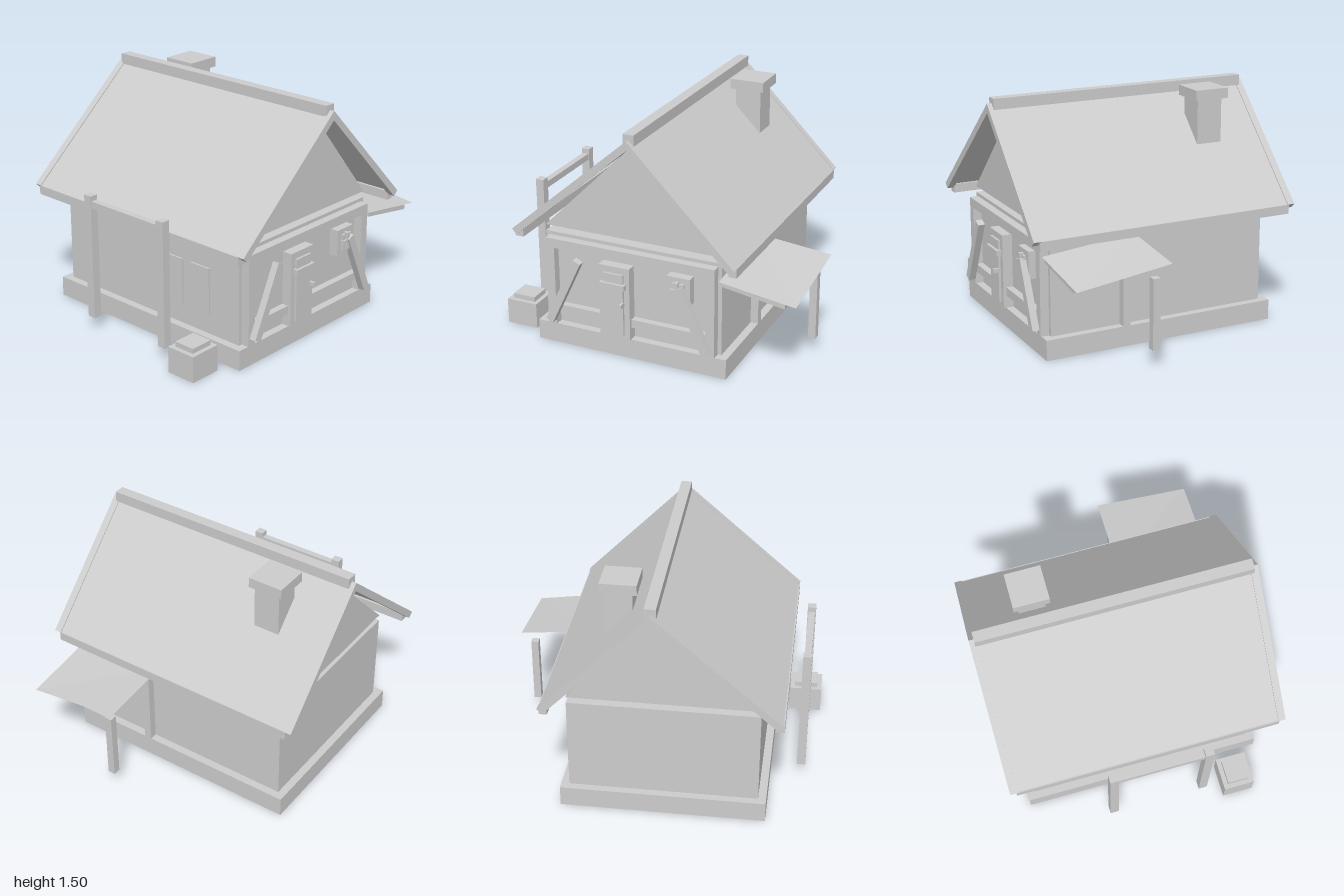
import * as THREE from 'three';

const clay = new THREE.MeshStandardMaterial({ color: 0xcccccc });
clay.name = 'light grey';
const sheet = clay;
sheet.side = THREE.DoubleSide;

export function createModel() {
  const model = new THREE.Group();
  model.name = 'cottage';

  const add = (name, geometry) => {
    const mesh = new THREE.Mesh(geometry, clay);
    mesh.name = name;
    model.add(mesh);
    return mesh;
  };
  // Box given by its limits on each axis
  const box = (name, [x0, x1], [y0, y1], [z0, z1]) => {
    const mesh = add(name, new THREE.BoxGeometry(x1 - x0, y1 - y0, z1 - z0));
    mesh.position.set((x0 + x1) / 2, (y0 + y1) / 2, (z0 + z1) / 2);
    return mesh;
  };
  // Outline in x and y, carried along z
  const prism = (name, points, z0, z1) => {
    const shape = new THREE.Shape(points.map(([x, y]) => new THREE.Vector2(x, y)));
    const mesh = add(name, new THREE.ExtrudeGeometry(shape, { depth: z1 - z0, bevelEnabled: false }));
    mesh.position.z = z0;
    return mesh;
  };
  // Straight timber between two points of the front plane
  const timber = (name, [ax, ay], [bx, by], width, [z0, z1]) => {
    const length = Math.hypot(bx - ax, by - ay);
    const mesh = add(name, new THREE.BoxGeometry(length, width, z1 - z0));
    mesh.position.set((ax + bx) / 2, (ay + by) / 2, (z0 + z1) / 2);
    mesh.rotation.z = Math.atan2(by - ay, bx - ax);
    return mesh;
  };

  // Body
  box('foundation', [-0.71, 0.57], [0, 0.13], [-0.78, 0.78]);
  box('walls', [-0.66, 0.52], [0.13, 0.735], [-0.73, 0.73]);
  prism('gable', [[-0.66, 0.775], [0.52, 0.775], [-0.015, 1.42]], -0.73, 0.73);

  // Roof slopes with a raised bargeboard at each end
  const slopes = {
    left: {
      board: [[-0.805, 0.782], [-0.772, 0.752], [-0.015, 1.408], [-0.015, 1.466]],
      panel: [[-0.80, 0.777], [-0.785, 0.764], [-0.015, 1.432], [-0.015, 1.458]],
    },
    right: {
      board: [[0.662, 0.782], [0.629, 0.752], [-0.015, 1.408], [-0.015, 1.466]],
      panel: [[0.658, 0.777], [0.643, 0.764], [-0.015, 1.432], [-0.015, 1.458]],
    },
  };
  for (const [side, { board, panel }] of Object.entries(slopes)) {
    prism(`${side}RoofPanel`, panel, -0.845, 0.845);
    prism(`${side}FrontBargeboard`, board, 0.843, 0.89);
    prism(`${side}BackBargeboard`, board, -0.89, -0.843);
  }
  box('leftEaveBoard', [-0.805, -0.75], [0.722, 0.78], [-0.85, 0.85]);
  box('rightEaveBoard', [0.61, 0.66], [0.722, 0.78], [-0.85, 0.85]);
  box('ridgeBeam', [-0.05, 0.02], [1.43, 1.498], [-0.86, 0.86]);

  // Chimney
  box('chimneyShaft', [0.13, 0.298], [1.0, 1.43], [-0.56, -0.39]);
  box('chimneyCap', [0.10, 0.325], [1.425, 1.49], [-0.59, -0.365]);

  // Front timber frame
  box('frameLeftPost', [-0.635, -0.578], [0.13, 0.652], [0.73, 0.785]);
  box('frameRightPost', [0.437, 0.495], [0.13, 0.652], [0.73, 0.785]);
  box('frameTopBeam', [-0.635, 0.495], [0.652, 0.713], [0.73, 0.785]);
  box('leftRail', [-0.578, -0.265], [0.21, 0.265], [0.73, 0.775]);
  box('rightRail', [-0.06, 0.437], [0.21, 0.265], [0.73, 0.775]);
  timber('leftBrace', [-0.603, 0.17], [-0.40, 0.605], 0.052, [0.785, 0.83]);
  timber('rightBrace', [0.455, 0.155], [0.275, 0.563], 0.052, [0.785, 0.83]);

  // Door
  box('doorFrame', [-0.265, -0.06], [0.13, 0.61], [0.73, 0.795]);
  box('doorPanel', [-0.23, -0.097], [0.16, 0.568], [0.73, 0.81]);
  box('doorCrossbar', [-0.247, -0.08], [0.475, 0.508], [0.73, 0.828]);
  box('doorHandle', [-0.11, -0.092], [0.36, 0.386], [0.80, 0.847]);

  // Front window
  box('windowFrame', [0.188, 0.34], [0.445, 0.62], [0.73, 0.79]);
  box('windowPane', [0.225, 0.305], [0.48, 0.585], [0.73, 0.805]);
  box('windowUpright', [0.25, 0.272], [0.485, 0.595], [0.73, 0.82]);
  box('windowCrossbar', [0.22, 0.305], [0.53, 0.55], [0.73, 0.82]);

  // Left wall windows
  for (const z of [0.13, 0.35]) {
    box('sideWindow', [-0.672, -0.65], [0.26, 0.56], [z, z + 0.15]);
  }

  // Lean-to: sloping sheet, arm and two posts
  const canopy = new THREE.BufferGeometry();
  canopy.setAttribute('position', new THREE.Float32BufferAttribute([
    0.52, 0.70, 0.17, 0.52, 0.64, 0.78, 1.0, 0.57, 0.78,
    0.52, 0.70, 0.17, 1.0, 0.57, 0.78, 1.0, 0.65, 0.17,
  ], 3));
  canopy.computeVertexNormals();
  add('canopy', canopy);
  timber('canopyArm', [0.53, 0.622], [0.93, 0.558], 0.03, [0.73, 0.768]);
  box('canopyOuterPost', [0.903, 0.951], [0.11, 0.555], [0.22, 0.268]);
  box('canopyWallPost', [0.52, 0.57], [0.13, 0.62], [0.22, 0.268]);

  // Hitching rail beside the left wall
  for (const z of [-0.258, 0.352]) {
    box('railPost', [-0.93, -0.876], [0.09, 0.90], [z - 0.028, z + 0.028]);
  }
  box('hitchingRail', [-0.924, -0.882], [0.825, 0.868], [-0.23, 0.325]);

  // Crate with lid
  box('crate', [-1.0, -0.79], [0, 0.168], [0.48, 0.68]);
  box('crateLid', [-0.97, -0.818], [0.168, 0.20], [0.51, 0.65]);

  return model;
}
